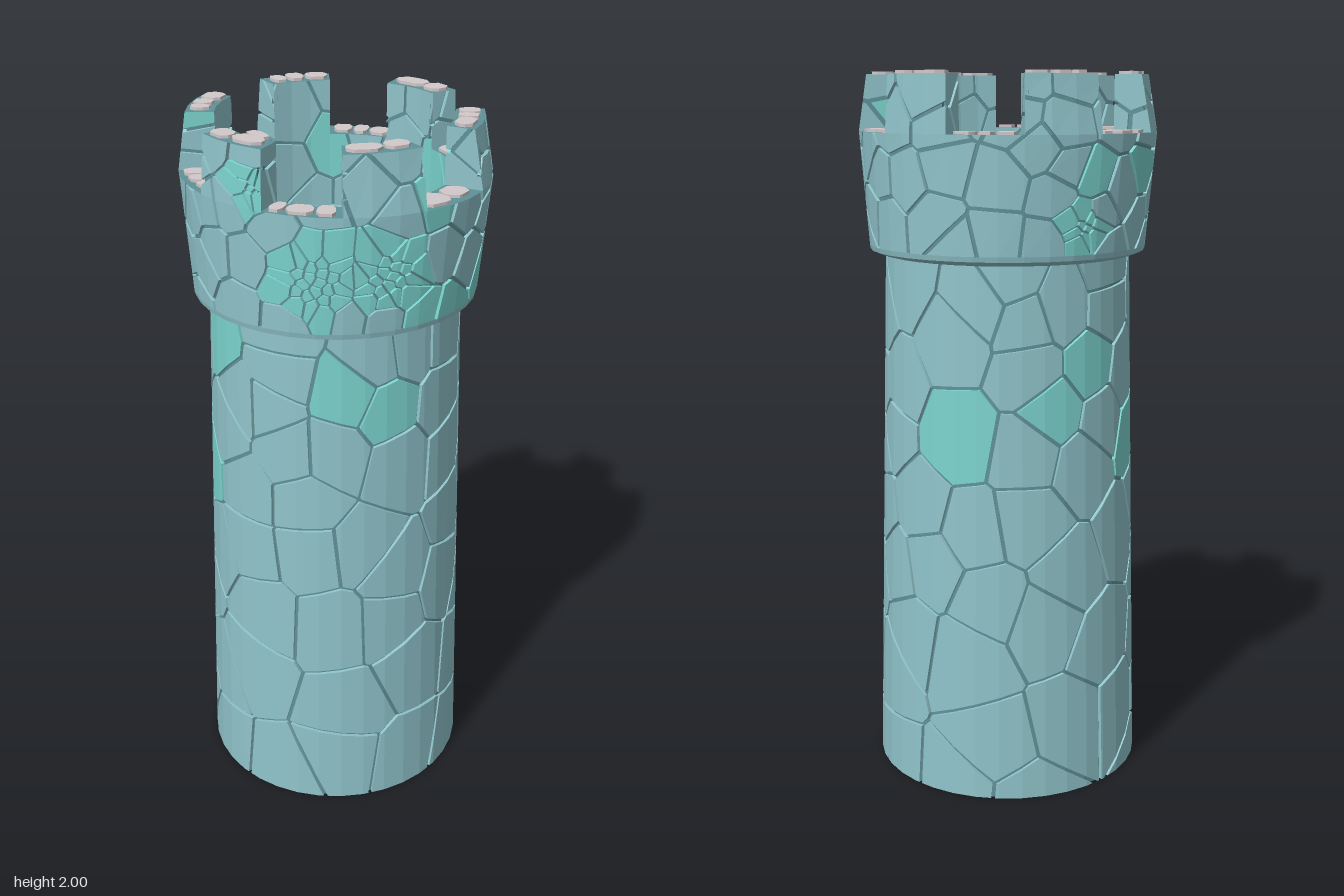
import * as THREE from 'three';

const TAU = Math.PI * 2, SIDES = 36, R = 0.38, W = TAU * R, STEP = W / SIDES;
const DEPTH = 0.01, GAP = 0.0055;
const FLOOR = 1.63, SILL = 1.84, TOP = 1.992, INNER = 0.313;
const mat = (color) => new THREE.MeshStandardMaterial({ color, flatShading: true });
const mats = {
  Stones: mat(0x8fc3ca), AccentStones: mat(0x7bd3cd), Mortar: mat(0x5f9298), CapStones: mat(0xd2c8ca),
};

let seed = 7;
const rnd = () => {
  seed = (seed * 16807) % 2147483647;
  return seed / 2147483647;
};
const lerp = THREE.MathUtils.lerp;

// Cut a convex polygon by a half plane; each corner carries a tag for the edge that starts there
function clip(poly, nx, ny, c, tag) {
  const out = [];
  poly.forEach((a, i) => {
    const b = poly[(i + 1) % poly.length];
    const da = nx * a[0] + ny * a[1] - c, db = nx * b[0] + ny * b[1] - c;
    if (da <= 0) out.push(a);
    if ((da <= 0) !== (db <= 0)) {
      const f = da / (da - db);
      out.push([lerp(a[0], b[0], f), lerp(a[1], b[1], f), da <= 0 ? tag : a[2]]);
    }
  });
  return out;
}

// Split a polygon into strips so it follows the facets of the round wall
function strips(poly, step) {
  if (!step) return [poly];
  const us = poly.map((p) => p[0]), out = [];
  for (let k = Math.floor(Math.min(...us) / step); k * step < Math.max(...us); k++) {
    const s = clip(clip(poly, -1, 0, -k * step, 0), 1, 0, (k + 1) * step, 0);
    if (s.length > 2) out.push(s);
  }
  return out;
}

const rect = (u0, u1, v0, v1) => [[u0, v0, 0], [u1, v0, 0], [u1, v1, 0], [u0, v1, 0]];

// Evenly scattered stone centres (best of several candidates)
function scatter(n, u0, u1, v0, v1, wrap = 0, size = () => 1) {
  const pts = [];
  while (pts.length < n) {
    let best, bestD = -1;
    for (let i = 0; i < 10; i++) {
      const c = [lerp(u0, u1, rnd()), lerp(v0, v1, rnd())];
      let d = 9;
      for (const p of pts) {
        let du = Math.abs(p[0] - c[0]);
        if (wrap) du = Math.min(du, wrap - du);
        d = Math.min(d, Math.hypot(du, p[1] - c[1]) / size(c[1]));
      }
      if (d > bestD) [best, bestD] = [c, d];
    }
    pts.push(best);
  }
  return pts.map(([u, v]) => ({ u, v, gap: GAP, kind: rnd() < 0.09 ? 'AccentStones' : 'Stones' }));
}

// Swap the stones around a centre for a nest of small accent stones
function rubble(sites, u, v, radius, n) {
  const kept = sites.filter((s) => Math.hypot(s.u - u, s.v - v) > radius * 1.35);
  for (let i = 0; i < n; i++) {
    const r = radius * Math.sqrt((i + 0.4) / n), a = i * 2.4;
    kept.push({ u: u + r * Math.cos(a), v: v + r * Math.sin(a), gap: 0.003, kind: 'AccentStones' });
  }
  return kept;
}

// Cell of one stone within a region, shrunk by half a joint
function cell(region, s, sites, wrap) {
  let poly = region;
  for (const o of sites) {
    for (const shift of wrap ? [-wrap, 0, wrap] : [0]) {
      const du = o.u + shift - s.u, dv = o.v - s.v, d = Math.hypot(du, dv);
      if (d < 1e-6 || poly.length < 3) continue;
      const nx = du / d, ny = dv / d;
      poly = clip(poly, nx, ny, nx * s.u + ny * s.v + d / 2 - Math.min(s.gap, o.gap), 1);
    }
  }
  return poly;
}

// Mortar bed plus stones for one surface; map(u, v, depth) gives the point in space
function patch(name, regions, map, stones, step, bed = DEPTH) {
  const bins = {};
  const add = (kind, d, poly, walls) => {
    const out = (bins[kind] ??= []);
    for (const s of strips(poly, step)) {
      const top = s.map((p) => map(p[0], p[1], d)), low = s.map((p) => map(p[0], p[1], bed));
      // compare the winding with the outward direction
      const n = new THREE.Vector3();
      for (let i = 1; i < s.length - 1; i++) {
        n.add(top[i].clone().sub(top[0]).cross(top[i + 1].clone().sub(top[0])));
      }
      const outward = map(s[0][0], s[0][1], 0).sub(map(s[0][0], s[0][1], 0.1));
      const flip = n.dot(outward) < 0;
      const tri = (a, b, c) => (flip ? [a, c, b] : [a, b, c]).forEach((p) => out.push(p.x, p.y, p.z));
      for (let i = 1; i < s.length - 1; i++) tri(top[0], top[i], top[i + 1]);
      if (walls) s.forEach((p, i) => {
        if (!p[2]) return;
        const j = (i + 1) % s.length;
        tri(top[i], low[i], low[j]);
        tri(top[i], low[j], top[j]);
      });
    }
  };
  regions.forEach((r) => add('Mortar', bed, r, false));
  stones.forEach(({ kind, poly, lift = 0 }) => poly.length > 2 && add(kind, -lift, poly, true));
  const group = new THREE.Group();
  group.name = name;
  for (const [kind, pos] of Object.entries(bins)) {
    const geo = new THREE.BufferGeometry();
    geo.setAttribute('position', new THREE.Float32BufferAttribute(pos, 3));
    geo.computeVertexNormals();
    const mesh = new THREE.Mesh(geo, mats[kind]);
    mesh.name = name + kind;
    group.add(mesh);
  }
  return group;
}

// Stones of a surface: every centre tried in the region, also shifted around the wrap
function cells(region, sites, wrap = 0) {
  const list = [];
  for (const s of sites) {
    for (const shift of wrap ? [-wrap, 0, wrap] : [0]) {
      list.push({ kind: s.kind, poly: cell(region, { ...s, u: s.u + shift }, 
        wrap ? sites.map((o) => ({ ...o, u: o.u + shift })) : sites, wrap) });
    }
  }
  return list;
}

// Point on a faceted wall with radius(angle, y); u is arc length from the front
const wall = (radius, inward) => (u, y, d) => {
  const k = Math.floor(u / STEP + 1e-6), f = u / STEP - k;
  const at = (i) => {
    const t = (i * TAU) / SIDES, r = radius(t, y) + inward * d;
    return new THREE.Vector3(r * Math.sin(t), y, r * Math.cos(t));
  };
  return at(k).lerp(at(k + 1), f);
};
const bodyR = (t, y) => lerp(0.384, 0.344, y / 1.51);
const headR = (t, y) => {
  const bulge = 0.392 + 0.026 * Math.sin(t) ** 2;
  return y < SILL ? lerp(0.388, bulge, (y - 1.53) / (SILL - 1.53)) : lerp(bulge, 0.387, (y - SILL) / (2 - SILL));
};
const innerR = () => INNER;

export function createModel() {
  const tower = new THREE.Group();
  tower.name = 'stoneTower';
  const put = (...args) => tower.add(patch(...args));
  const outer = wall(headR, -1), inner = wall(innerR, 1);

  // Tapering shaft
  const shaft = rect(0, W, 0.005, 1.51);
  const shaftSites = scatter(88, 0, W, 0, 1.51, W, (v) => 1.25 - 0.3 * v);
  put('shaft', [shaft], wall(bodyR, -1), cells(shaft, shaftSites, W), STEP);

  // Flat discs: underside and the fighting floor
  const disc = (r) => Array.from({ length: SIDES }, (_, i) =>
    [r * Math.sin((i * TAU) / SIDES), r * Math.cos((i * TAU) / SIDES), 0]);
  for (const [name, r, y, dir, n] of [['base', 0.384, 0.005, 1, 15], ['floor', 0.323, FLOOR, -1, 17]]) {
    put(name, [disc(r)], (x, z, d) => new THREE.Vector3(x, y + dir * d, z),
      cells(disc(r), scatter(n, -r, r, -r, r)), 0);
  }

  // Ledge under the wider head
  const ledge = new THREE.Mesh(new THREE.LatheGeometry(
    [[0.33, 1.5], [0.362, 1.508], [0.386, 1.518], [0.389, 1.532]].map((p) => new THREE.Vector2(...p)), SIDES), mats.Stones);
  ledge.name = 'ledge';
  tower.add(ledge);

  // Head wall, outside and inside
  let outSites = scatter(84, 0, W, 1.53, 2, W);
  for (const [deg, y, r, n] of [[20, 1.67, 0.08, 26], [47, 1.68, 0.075, 22], [235, 1.6, 0.04, 10], [354, 1.89, 0.035, 9]]) {
    outSites = rubble(outSites, (deg / 360) * W, y, r, n);
  }
  const inSites = rubble(scatter(46, 0, W, FLOOR, 2, W), (110 / 360) * W, 1.9, 0.05, 12);
  const outBand = rect(0, W, 1.53, SILL), inBand = rect(0, W, FLOOR - DEPTH, SILL);
  put('headOuterWall', [outBand], outer, cells(outBand, outSites, W), STEP);
  put('headInnerWall', [inBand], inner, cells(inBand, inSites, W), STEP);

  // Top of a wall section with pale, rough-cut stones set into it
  const cap = (name, u0, u1, y) => {
    const map = (u, q, d) => {
      const p = inner(u, y, 0).lerp(outer(u, y, 0), q);
      p.y = y - d;
      return p;
    };
    const stones = [], n = 2 + Math.floor(rnd() * 1.6);
    let a = u0 + 0.008;
    for (let i = 0; i < n; i++) {
      const left = u1 - 0.008 - a;
      const b = i === n - 1 ? u1 - 0.008 : a + (left / (n - i)) * (0.65 + 0.7 * rnd());
      const lo = 0.08 + 0.12 * rnd(), hi = 0.92 - 0.14 * rnd(), e = b - 0.008, c = (e - a) * 0.2, m = 0.22;
      stones.push({ kind: 'CapStones', lift: 0.008, poly: [[a + c, lo], [e - c, lo], [e, lo + m], [e, hi - m],
        [e - c, hi], [a + c, hi], [a, hi - m], [a, lo + m]].map((p) => [...p, 1]) });
      a = b;
    }
    return patch(name, [rect(u0, u1, 0, 1)], map, stones, STEP, 0);
  };

  // Six merlons with the notches between them
  for (let i = 0; i < 6; i++) {
    const u0 = ((30 + i * 60) / 360) * W, u1 = u0 + W / 12;
    const merlon = new THREE.Group();
    merlon.name = 'merlon' + (i + 1);
    const face = rect(u0, u1, SILL, TOP);
    merlon.add(patch('merlonOuterFace', [face], outer, cells(face, outSites, W), STEP));
    merlon.add(patch('merlonInnerFace', [face], inner, cells(face, inSites, W), STEP));
    for (const [u, dir] of [[u0, 1], [u1, -1]]) {
      const flank = rect(0, 0.08, SILL, TOP);
      const along = outer(u + dir * 0.01, SILL, 0).sub(outer(u, SILL, 0)).normalize();
      const map = (q, y, d) => inner(u, y, 0).lerp(outer(u, y, 0), q / 0.08).addScaledVector(along, d);
      merlon.add(patch('merlonSide', [flank], map, cells(flank, scatter(3, 0, 0.08, SILL, TOP)), 0));
    }
    merlon.add(cap('merlonTop', u0, u1, TOP));
    tower.add(merlon, cap('notchSill', u1, u1 + W / 12, SILL));
  }
  return tower;
}
